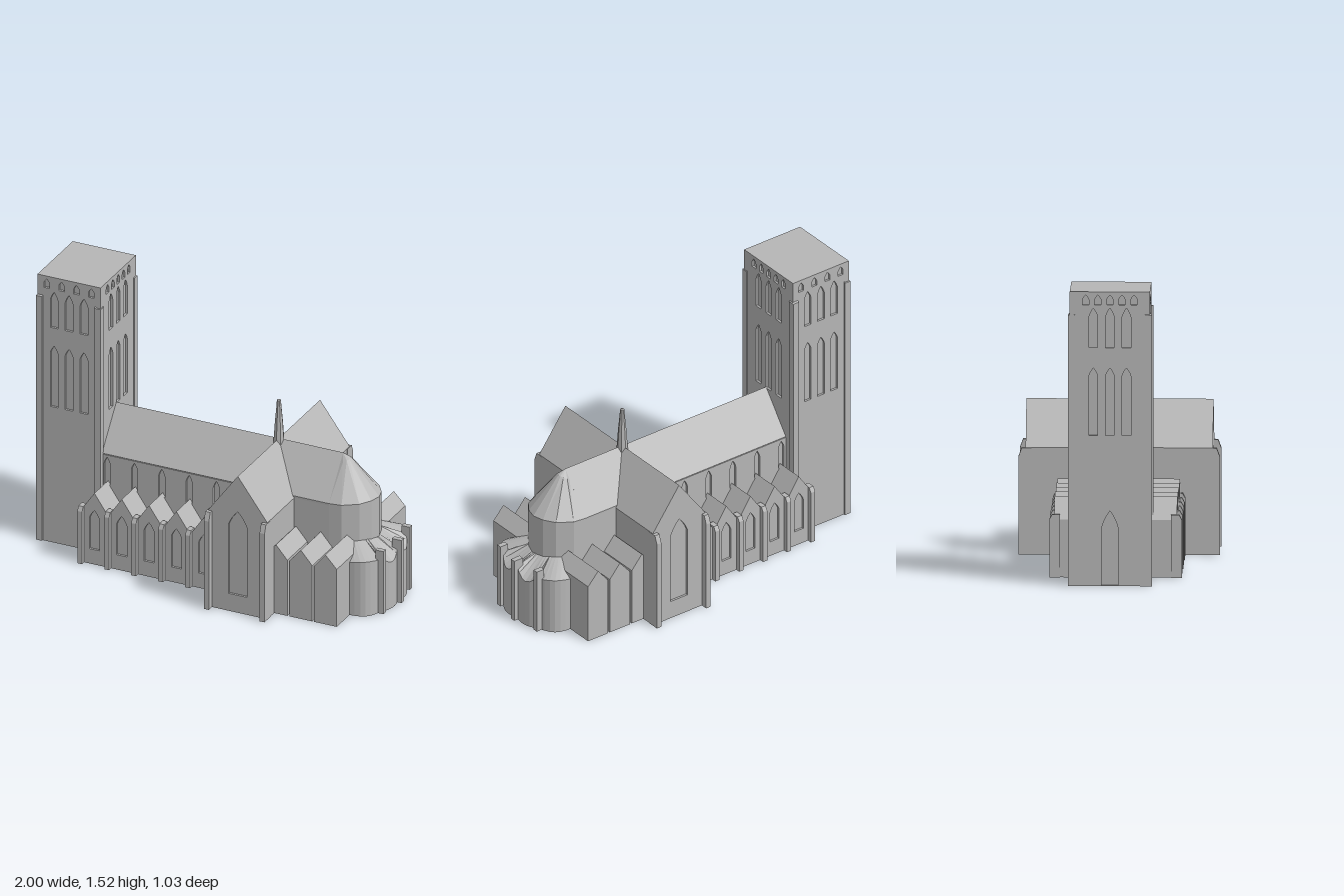
import * as THREE from 'three';

export function createModel() {
  const stone = new THREE.MeshStandardMaterial({ color: 0xb6b6b6 });
  stone.name = 'stone grey';
  const model = new THREE.Group();
  model.name = 'church';
  const church = new THREE.Group();
  church.name = 'churchBody';
  church.position.z = -0.004;
  model.add(church);

  const add = (parent, name, geo) => {
    const m = new THREE.Mesh(geo, stone);
    m.name = name;
    parent.add(m);
    return m;
  };
  const poly = pts => new THREE.Shape(pts.map(p => new THREE.Vector2(p[0], p[1])));
  const extrude = (shape, z0, z1) =>
    new THREE.ExtrudeGeometry(shape, { depth: z1 - z0, bevelEnabled: false, curveSegments: 4 }).translate(0, 0, z0);
  const box = (x0, x1, y0, y1, z0, z1) =>
    new THREE.BoxGeometry(x1 - x0, y1 - y0, z1 - z0).translate((x0 + x1) / 2, (y0 + y1) / 2, (z0 + z1) / 2);

  // pointed arch opening: centre, width, sill, springing and apex heights
  const arch = (cx, w, sill, spring, apex) => {
    const h = w / 2, p = new THREE.Path();
    p.moveTo(cx - h, sill);
    p.lineTo(cx + h, sill);
    p.lineTo(cx + h, spring);
    p.quadraticCurveTo(cx + h * 0.75, (spring + apex) / 2, cx, apex);
    p.quadraticCurveTo(cx - h * 0.75, (spring + apex) / 2, cx - h, spring);
    p.lineTo(cx - h, sill);
    return p;
  };

  // flat-faced skin through a list of open rings
  const loft = rings => {
    const v = [];
    for (let r = 0; r < rings.length - 1; r++)
      for (let i = 0; i < rings[r].length - 1; i++) {
        const a = rings[r][i], b = rings[r][i + 1], c = rings[r + 1][i + 1], d = rings[r + 1][i];
        v.push(...a, ...b, ...c, ...a, ...c, ...d);
      }
    const g = new THREE.BufferGeometry();
    g.setAttribute('position', new THREE.Float32BufferAttribute(v, 3));
    g.computeVertexNormals();
    return g;
  };

  // buttress with a weathered top, on both long sides
  const buttresses = (name, x, w, zIn, zOut, h, drop) => {
    for (const s of [1, -1]) {
      const prof = poly([[zIn, 0], [zOut, 0], [zOut, h - drop], [zOut - (zOut - zIn) * 0.25, h], [zIn, h]]);
      const g = extrude(prof, -w / 2, w / 2).rotateY(-Math.PI / 2);
      if (s < 0) g.rotateY(Math.PI);
      add(church, name, g.translate(x, 0, 0));
    }
  };

  const T = 0.012; // depth of window recesses

  // ---- tower ----
  const tower = new THREE.Group();
  tower.name = 'tower';
  tower.position.set(-0.815, 0, -0.026);
  model.add(tower);
  const hx = 0.18, hz = 0.206, H = 1.525;
  add(tower, 'towerCore', box(-hx + T, hx - T, 0, H, -hz + T, hz - T));
  const towerWall = (half, count, step, door) => {
    const s = poly([[-half, 0], [half, 0], [half, H], [-half, H]]);
    for (const x of [-0.085, 0, 0.085])
      s.holes.push(arch(x, 0.044, 0.78, 1.09, 1.13), arch(x, 0.044, 1.235, 1.395, 1.44));
    for (let i = 0; i < count; i++)
      s.holes.push(arch((i - (count - 1) / 2) * step, 0.032, 1.457, 1.485, 1.508));
    if (door) s.holes.push(arch(0, 0.085, 0.004, 0.3, 0.39));
    return extrude(s, -T, 0);
  };
  for (let i = 0; i < 4; i++) {
    const side = i % 2 === 1;
    const g = towerWall(side ? hz - T : hx, side ? 5 : 4, side ? 0.062 : 0.085, i === 3);
    g.translate(0, 0, side ? hx : hz).rotateY(i * Math.PI / 2);
    add(tower, 'towerWall', g);
  }
  for (const sx of [1, -1]) for (const sz of [1, -1]) {
    const g = new THREE.BoxGeometry(0.036, 1.43, 0.036).translate(0, 0.715, 0);
    const p = g.attributes.position;
    // slope the outer top edges
    for (let i = 0; i < p.count; i++)
      if (p.getY(i) > 1 && (p.getX(i) * sx > 0 || p.getZ(i) * sz > 0)) p.setY(i, 1.405);
    g.computeVertexNormals();
    add(tower, 'towerCornerButtress', g.translate(sx * 0.167, 0, sz * 0.197));
  }

  // ---- nave and choir ----
  const W = 0.167, EAVE = 0.567, RIDGE = 0.785;
  const alongX = (half, x0, x1) => extrude(
    poly([[-half, 0], [half, 0], [half, 0.555], [W, EAVE], [0, RIDGE], [-W, EAVE], [-half, 0.555]]),
    x0, x1).rotateY(Math.PI / 2);
  add(church, 'nave', alongX(W - T, -0.64, 0.3));
  add(church, 'choir', alongX(W - 0.0005, 0.3, 0.66));
  const bays = [0, 1, 2, 3, 4].map(i => -0.606 + i * 0.156);
  const clerestory = poly([[-0.64, 0.2], [0.3, 0.2], [0.3, 0.562], [-0.64, 0.562]]);
  for (const x of bays) clerestory.holes.push(arch(x, 0.036, 0.39, 0.51, 0.55));
  for (const z of [W - T, -W]) add(church, 'clerestoryWall', extrude(clerestory, z, z + T));

  // rounded east end with a bent roof
  const plan = [[0.66, W], [0.73, 0.163], [0.81, 0.118], [0.85, 0.06], [0.866, 0]];
  const halfRing = f => {
    const a = plan.map(([x, z]) => f(x, z));
    return [...a, ...plan.slice(0, -1).reverse().map(([x, z]) => f(x, -z))];
  };
  add(church, 'apse', loft([
    halfRing((x, z) => [x, 0, z]),
    halfRing((x, z) => [x, EAVE + 0.01 * (x - 0.66) / 0.206, z]),
    halfRing((x, z) => [0.66 + (x - 0.66) * 0.22, 0.737 + 0.027 * (x - 0.66) / 0.206, z * 0.22]),
    halfRing(() => [0.66, RIDGE, 0]),
  ]));

  // ---- transept ----
  const gable = [[0.124, 0], [0.462, 0], [0.462, 0.555], [0.293, RIDGE], [0.124, 0.555]];
  add(church, 'transept', extrude(poly(gable), -0.468, 0.468));
  const gableWall = poly(gable);
  gableWall.holes.push(arch(0.293, 0.108, 0.1, 0.495, 0.58));
  for (const z of [0.468, -0.48]) add(church, 'transeptGable', extrude(gableWall, z, z + T));
  for (const x of [0.132, 0.45]) buttresses('transeptButtress', x, 0.028, 0.45, 0.517, 0.553, 0.045);

  // ---- side aisles with a gable for each bay ----
  const zigzag = [[-0.684, 0], [0.13, 0], [0.13, 0.298]];
  for (const x of [...bays].reverse()) zigzag.push([x + 0.077, 0.298], [x, 0.41], [x - 0.077, 0.298]);
  add(church, 'aisles', extrude(poly(zigzag), -0.303, 0.303));
  const aisleWall = poly(zigzag);
  for (const x of bays) aisleWall.holes.push(arch(x, 0.058, 0.085, 0.262, 0.31));
  for (const z of [0.303, -0.315]) add(church, 'aisleWall', extrude(aisleWall, z, z + T));
  for (let i = 0; i < 6; i++) buttresses('aisleButtress', -0.678 + i * 0.154, 0.027, 0.285, 0.34, 0.325, 0.025);

  // ---- choir chapels, separated by narrow slots ----
  const chapels = [
    [[0.44, 0], [0.537, 0], [0.537, 0.32], [0.472, 0.395], [0.44, 0.36]],
    [[0.549, 0], [0.679, 0], [0.679, 0.32], [0.614, 0.395], [0.549, 0.32]],
    [[0.689, 0], [0.819, 0], [0.819, 0.33], [0.754, 0.4], [0.689, 0.32]],
  ];
  for (const c of chapels) add(church, 'choirChapel', extrude(poly(c), -0.4, 0.4));

  // ---- lobed ring of chapels round the east end ----
  const corners = [[0.815, 0.25], [0.945, 0.153], [0.972, 0], [0.945, -0.153], [0.815, -0.25]];
  const outline = [];
  for (let k = 0; k < 4; k++) {
    const [ax, az] = corners[k], [bx, bz] = corners[k + 1];
    const len = Math.hypot(bx - ax, bz - az);
    const outer = k === 0 || k === 3;
    for (let i = 0; i <= 6; i++) {
      const t = i / 6, s = Math.sin(Math.PI * t), bulge = s * (outer ? 0.035 : 0.022);
      const y = outer ? 0.302 + 0.01 * s : 0.315 - 0.05 * s;
      outline.push([ax + (bx - ax) * t - (bz - az) / len * bulge, y, az + (bz - az) * t + (bx - ax) / len * bulge]);
    }
  }
  add(church, 'eastChapels', loft([
    outline.map(() => [0.7, 0, 0]),
    outline.map(([x, , z]) => [x, 0, z]),
    outline,
    outline.map(([x, , z]) => [0.7 + (x - 0.7) * 0.5, 0.365, z * 0.55]),
  ]));
  add(church, 'eastButtress', box(0.945, 1, 0, 0.36, -0.014, 0.014));
  for (const z of [0.153, -0.153])
    add(church, 'eastButtress', box(0.925, 0.972, 0, 0.36, z - 0.014, z + 0.014));

  // ---- spire over the crossing ----
  const spire = [[0.03, 0.74], [0.028, 0.79], [0.022, 0.88], [0.014, 0.965], [0.011, 1.005], [0, 1.01]]
    .map(p => new THREE.Vector2(...p));
  const spireGeo = new THREE.LatheGeometry(spire, 8).toNonIndexed();
  spireGeo.computeVertexNormals();
  add(church, 'spire', spireGeo).position.x = 0.293;

  return model;
}
